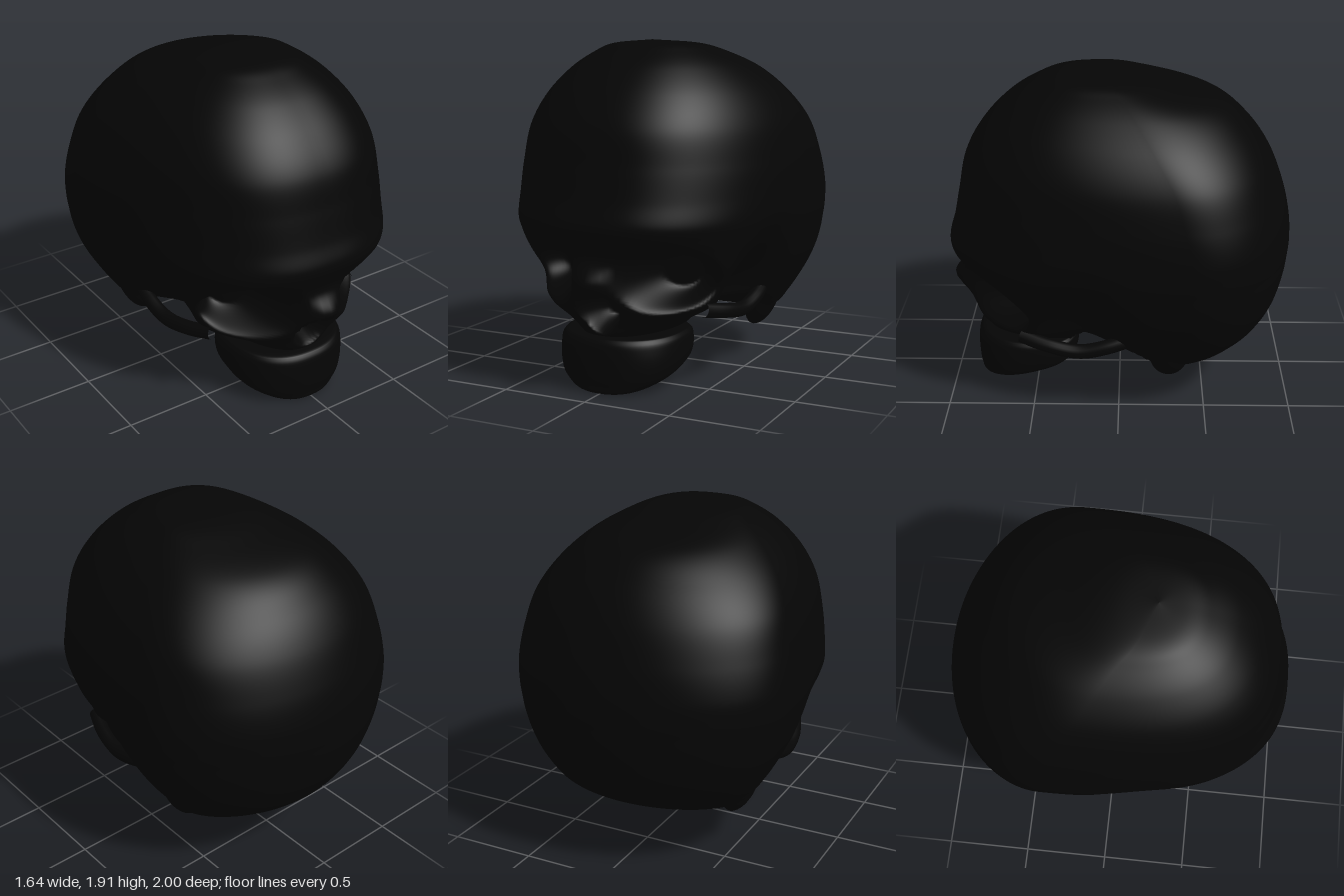
import * as THREE from 'three';

const { smoothstep, lerp, clamp } = THREE.MathUtils;
const material = new THREE.MeshStandardMaterial({ color: 0x050505 });
const bump = (v, centre, spread) => Math.exp(-(((v - centre) / spread) ** 2));

// Straight-line lookup in a short list of [key, value] pairs
function lookup(pairs, k) {
  for (let i = 1; i < pairs.length; i++) {
    if (k <= pairs[i][0]) {
      const [a, b] = [pairs[i - 1], pairs[i]];
      return lerp(a[1], b[1], clamp((k - a[0]) / (b[0] - a[0]), 0, 1));
    }
  }
  return pairs[pairs.length - 1][1];
}

// Loft through level sections [front z, y, back z, half width, z of widest point],
// listed from top to bottom, then moved point by point by a rule.
function loft(sections, rings, sides, frontPower, backPower, rule) {
  const depth = new THREE.CatmullRomCurve3(
    sections.map(s => new THREE.Vector3(s[0], s[1], s[2])), false, 'catmullrom', 0.5);
  const width = new THREE.CatmullRomCurve3(
    sections.map(s => new THREE.Vector3(s[3], s[1], s[4])), false, 'catmullrom', 0.5);
  const positions = [], index = [];
  for (let i = 0; i <= rings; i++) {
    const d = depth.getPoint(i / rings), w = width.getPoint(i / rings);
    for (let j = 0; j < sides; j++) {
      const a = (j / sides) * Math.PI * 2, c = Math.cos(a), s = Math.sin(a);
      const e = 2 / (s > 0 ? frontPower : backPower);
      const reach = s > 0 ? d.x - w.z : w.z - d.z;
      const p = new THREE.Vector3(
        w.x * Math.sign(c) * Math.abs(c) ** e, d.y,
        w.z + reach * Math.sign(s) * Math.abs(s) ** e);
      rule(p);
      positions.push(p.x, p.y, p.z);
      if (i < rings) {
        const k = (j + 1) % sides, r = i * sides, n = r + sides;
        index.push(r + j, r + k, n + j, r + k, n + k, n + j);
      }
    }
  }
  const geometry = new THREE.BufferGeometry();
  geometry.setAttribute('position', new THREE.Float32BufferAttribute(positions, 3));
  geometry.setIndex(index);
  geometry.computeVertexNormals();
  return geometry;
}

// Height of the underside from back to front
const underside = [[-1, 0.27], [-0.5, 0.28], [-0.42, 0.3], [-0.2, 0.34], [-0.1, 0.43],
  [0, 0.47], [0.2, 0.47], [0.25, 0.4], [0.31, 0.26], [1, 0.25]];

function shapeSkull(p) {
  const ax = Math.abs(p.x);
  if (p.z > 0.35) {
    // nasal bone
    p.z += 0.11 * bump(p.x, 0, 0.13) * bump(p.y, 0.63, 0.1);
    // eye sockets
    const socket = Math.hypot((ax - 0.36) / 0.245, (p.y - 0.67) / 0.21);
    p.z -= 0.3 * (1 - smoothstep(socket, 0.4, 1.06));
    // pear-shaped nose opening
    const nose = Math.hypot(p.x / (0.13 * (1 - (p.y - 0.45) * 1.8)), (p.y - 0.48) / 0.14);
    p.z -= 0.22 * (1 - smoothstep(nose, 0.5, 1.08));
  }
  // hollow temples behind the cheekbones
  p.x *= 1 - 0.28 * bump(p.z, 0.22, 0.2) * bump(p.y, 0.52, 0.25);
  // narrowing from the cheeks to the upper jaw
  p.x *= 1 - 0.4 * (1 - smoothstep(p.y, 0.3, 0.5)) * smoothstep(p.z, -0.05, 0.3);
  p.y = Math.max(p.y, lookup(underside, p.z));
}

function shapeJaw(p) {
  // the lower edge rises toward the back
  const back = clamp((0.85 - p.z) / 0.6, 0, 1);
  p.y += (1 - p.y / 0.33) * 0.18 * back ** 1.3;
}

export function createModel() {
  const model = new THREE.Group();
  model.name = 'skull';
  const add = (name, geometry) => {
    const mesh = new THREE.Mesh(geometry, material);
    mesh.name = name;
    model.add(mesh);
    return mesh;
  };

  // Braincase and face in one surface
  add('craniumAndFace', loft([
    [0.2, 1.92, 0.2, 0, 0.2],
    [0.38, 1.9, -0.05, 0.24, 0.1],
    [0.5, 1.85, -0.28, 0.37, 0],
    [0.64, 1.76, -0.58, 0.51, -0.1],
    [0.78, 1.62, -0.75, 0.65, -0.2],
    [0.885, 1.45, -0.87, 0.75, -0.3],
    [0.93, 1.25, -0.95, 0.8, -0.36],
    [0.965, 1.08, -0.99, 0.82, -0.4],
    [1, 0.95, -1, 0.82, -0.4],
    [0.975, 0.87, -0.995, 0.81, -0.4],
    [0.925, 0.78, -0.985, 0.795, -0.4],
    [0.9, 0.68, -0.965, 0.765, -0.4],
    [0.88, 0.58, -0.935, 0.72, -0.4],
    [0.86, 0.48, -0.885, 0.665, -0.38],
    [0.82, 0.4, -0.82, 0.615, -0.36],
    [0.8, 0.33, -0.7, 0.56, -0.35],
    [0.74, 0.27, -0.5, 0.45, -0.3],
    [0.3, 0.26, -0.25, 0.2, -0.1],
    [0, 0.26, 0, 0, 0],
  ], 180, 224, 2.5, 2, shapeSkull));

  // Rounded lower jaw block
  add('lowerJaw', loft([
    [0.55, 0.33, 0.55, 0, 0.55],
    [0.8, 0.325, 0.3, 0.29, 0.5],
    [0.855, 0.305, 0.25, 0.345, 0.5],
    [0.87, 0.24, 0.245, 0.36, 0.5],
    [0.87, 0.14, 0.25, 0.36, 0.5],
    [0.86, 0.06, 0.26, 0.335, 0.5],
    [0.83, 0.01, 0.3, 0.24, 0.5],
    [0.6, 0, 0.45, 0.1, 0.55],
    [0.55, 0, 0.55, 0, 0.55],
  ], 48, 72, 2.3, 3, shapeJaw));

  for (const [side, s] of [['left', 1], ['right', -1]]) {
    // Cheek arch, leaving a gap beside the temple
    const path = new THREE.CatmullRomCurve3([
      [0.49, 0.47, 0.56], [0.55, 0.44, 0.4], [0.58, 0.42, 0.22],
      [0.59, 0.46, 0.05], [0.57, 0.51, -0.1],
    ].map(([x, y, z]) => new THREE.Vector3(s * x, y, z)));
    add(side + 'CheekArch', new THREE.TubeGeometry(path, 40, 0.042, 14));

    // Bony knob behind the ear
    const knob = add(side + 'MastoidProcess', new THREE.SphereGeometry(1, 32, 24));
    knob.scale.set(0.085, 0.18, 0.115);
    knob.position.set(s * 0.5, 0.37, -0.29);
    knob.rotation.z = -s * 0.4;
  }
  return model;
}
